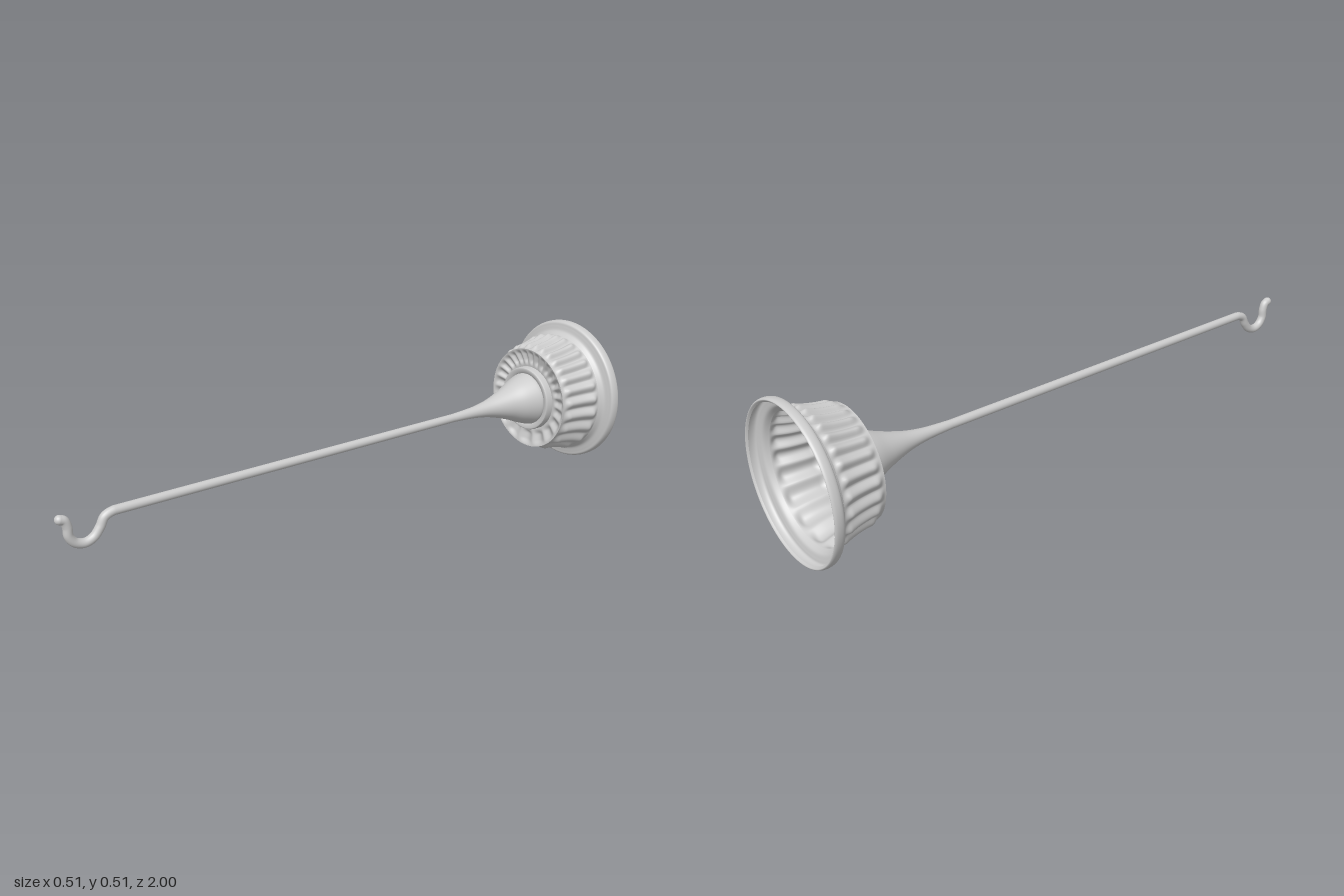
import * as THREE from 'three';
import { mergeVertices } from 'three/addons/utils/BufferGeometryUtils.js';

const AXIS_Y = 0.253;
const material = new THREE.MeshStandardMaterial({ color: 0xcccccc, side: THREE.DoubleSide });
const v2 = ([r, z]) => new THREE.Vector2(r, z);

// Points along a smooth profile of [radius, z] pairs
const smooth = (pts, n) => new THREE.SplineCurve(pts.map(v2)).getPoints(n);

// Ridge height (0..1) around the axis: crowded at the top, wider apart at the bottom
function ridge(x, y) {
  const a = Math.atan2(x, y);
  return Math.pow(0.5 + 0.5 * Math.cos(24 * (a + 0.4 * Math.sin(a))), 0.8);
}

// 1 between lo and hi, fading to 0 over a soft edge
const band = (v, lo, hi, soft) =>
  THREE.MathUtils.smoothstep(v, lo, lo + soft) * (1 - THREE.MathUtils.smoothstep(v, hi - soft, hi));

// Turned part around the z axis, optionally reshaped vertex by vertex
function turned(name, profile, segments, reshape) {
  let geo = new THREE.LatheGeometry(profile, segments);
  geo.rotateX(Math.PI / 2);
  geo.deleteAttribute('uv');
  geo.deleteAttribute('normal');
  geo = mergeVertices(geo);
  if (reshape) {
    const p = geo.attributes.position;
    const v = new THREE.Vector3();
    for (let i = 0; i < p.count; i++) {
      reshape(v.fromBufferAttribute(p, i));
      p.setXYZ(i, v.x, v.y, v.z);
    }
  }
  geo.computeVertexNormals();
  const mesh = new THREE.Mesh(geo, material);
  mesh.name = name;
  return mesh;
}

export function createModel() {
  const model = new THREE.Group();
  model.name = 'wallHook';
  const body = new THREE.Group();
  body.name = 'body';
  body.position.y = AXIS_Y;
  model.add(body);

  // Flared rim, open at the back
  body.add(turned('rim', smooth([
    [0.24, -0.994], [0.247, -1], [0.252, -0.993], [0.252, -0.978], [0.247, -0.968],
    [0.235, -0.965], [0.218, -0.96], [0.207, -0.945]], 36), 96));

  // Cup wall with rounded ridges running lengthways
  body.add(turned('flutedWall', smooth([
    [0.207, -0.945], [0.198, -0.92], [0.188, -0.885], [0.181, -0.84], [0.18, -0.798]], 28), 288, v => {
    const k = 1 + 0.075 * ridge(v.x, v.y) * band(v.z, -0.945, -0.802, 0.025);
    v.x *= k;
    v.y *= k;
  }));

  // Slightly dished front face with petal-shaped flutes
  body.add(turned('flutedFace', smooth([
    [0.18, -0.798], [0.165, -0.801], [0.14, -0.807], [0.113, -0.811]], 18), 288, v => {
    const r = Math.hypot(v.x, v.y);
    v.z -= 0.009 * ridge(v.x, v.y) * band(r, 0.12, 0.178, 0.018);
  }));

  // Collar ring
  body.add(turned('collarSide', [[0.114, -0.813], [0.114, -0.79], [0.112, -0.785]].map(v2), 96));
  body.add(turned('collarFace', [[0.112, -0.785], [0.108, -0.783], [0.096, -0.786], [0.092, -0.791]].map(v2), 96));

  // Hollow tapering neck
  body.add(turned('neck', smooth([
    [0.092, -0.791], [0.091, -0.78], [0.077, -0.74], [0.058, -0.695], [0.041, -0.645],
    [0.029, -0.6], [0.021, -0.55], [0.017, -0.5], [0.014, -0.44]], 40), 64));

  // Straight rod
  const rod = new THREE.Mesh(new THREE.CylinderGeometry(0.0145, 0.0145, 1.31, 24), material);
  rod.name = 'rod';
  rod.rotation.x = Math.PI / 2;
  rod.position.z = 0.165;
  body.add(rod);

  // Curved hook at the front, [y, z] from the axis
  const path = new THREE.CatmullRomCurve3([
    [0, 0.8], [-0.001, 0.825], [-0.012, 0.85], [-0.04, 0.866], [-0.066, 0.888], [-0.076, 0.917],
    [-0.066, 0.946], [-0.042, 0.962], [-0.012, 0.964], [0.009, 0.972], [0.015, 0.985]
  ].map(([y, z]) => new THREE.Vector3(0, y, z)));
  const hook = new THREE.Mesh(new THREE.TubeGeometry(path, 80, 0.0145, 20), material);
  hook.name = 'hook';
  body.add(hook);
  const tip = new THREE.Mesh(new THREE.SphereGeometry(0.0145, 20, 12), material);
  tip.name = 'hookTip';
  tip.position.set(0, 0.015, 0.985);
  body.add(tip);

  return model;
}
